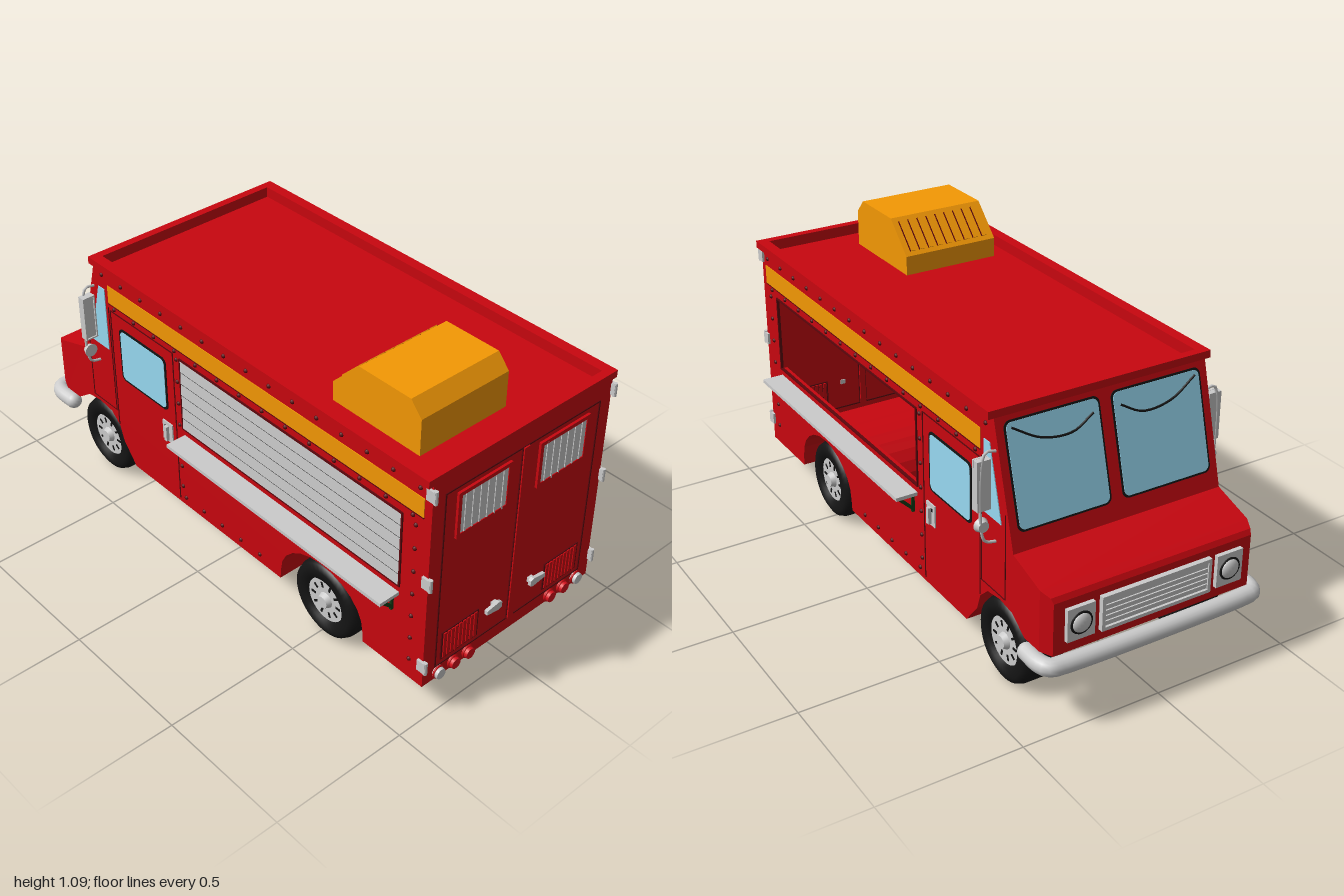
import * as THREE from 'three';

const mat = (color, extra = {}) => new THREE.MeshStandardMaterial({ color, ...extra });
const RED = mat(0xc8060f), RED2 = mat(0xc8060f, { side: THREE.DoubleSide }), SEAM = mat(0x5c060c);
const YELLOW = mat(0xf49804), GREY = mat(0xcccccc), GLASS = mat(0x98daf2), BLACK = mat(0x141414);
const TYRE = mat(0x141414, { side: THREE.DoubleSide });
const GREEN = mat(0x123d14), LAMP = mat(0xd8101c), TAN = mat(0xb08040);

function add(parent, name, geo, material, x = 0, y = 0, z = 0) {
  const m = new THREE.Mesh(geo, material);
  m.name = name;
  m.position.set(x, y, z);
  parent.add(m);
  return m;
}
const box = (p, name, material, w, h, d, x, y, z) =>
  add(p, name, new THREE.BoxGeometry(w, h, d), material, x, y, z);

function group(parent, name, x = 0, y = 0, z = 0) {
  const g = new THREE.Group();
  g.name = name;
  g.position.set(x, y, z);
  parent.add(g);
  return g;
}
const shapeOf = pts => new THREE.Shape(pts.map(p => new THREE.Vector2(...p)));
const pathOf = pts => new THREE.Path(pts.map(p => new THREE.Vector2(...p)));
const rect = (x0, y0, x1, y1) => [[x0, y0], [x1, y0], [x1, y1], [x0, y1]];
const extrude = (shape, depth) => new THREE.ExtrudeGeometry(shape, { depth, bevelEnabled: false });
// Rectangular outline made of four bars in the local xy plane
function frame(p, name, material, w, h, t, d, x, y, z) {
  for (const s of [-1, 1]) {
    box(p, name, material, w + t, t, d, x, y + s * h / 2, z);
    box(p, name, material, t, h, d, x + s * w / 2, y, z);
  }
}
const roundRect = (w, h, r) => {
  const s = new THREE.Shape(), x = w / 2, y = h / 2;
  s.absarc(x - r, y - r, r, 0, Math.PI / 2);
  s.absarc(-x + r, y - r, r, Math.PI / 2, Math.PI);
  s.absarc(-x + r, -y + r, r, Math.PI, Math.PI * 1.5);
  s.absarc(x - r, -y + r, r, Math.PI * 1.5, Math.PI * 2);
  return s;
};
const arch = (cx, cy, rx, ry) => Array.from({ length: 13 }, (_, i) => {
  const a = Math.PI * i / 12;
  return [cx + rx * Math.cos(a), cy + ry * Math.sin(a)];
});

// Body outline seen from the side; recess gives the sunken roof and stepped underside
const outline = recess => {
  const pan = (x0, x1) => recess
    ? [[x1, 0.12], [x1 - 0.02, 0.12], [x1 - 0.035, 0.17], [x0 + 0.035, 0.17], [x0 + 0.02, 0.12], [x0, 0.12]]
    : [[x1, 0.12], [x0, 0.12]];
  const roof = recess ? [[-0.626, 0.93], [-0.625, 0.905], [0.95, 0.905], [0.951, 0.93]] : [];
  return [
    [-0.65, 0.93], ...roof, [0.98, 0.93], ...pan(0.715, 0.98), ...arch(0.515, 0.16, 0.197, 0.155),
    ...pan(-0.49, 0.315), [-0.555, 0.2], [-0.575, 0.26], [-0.62, 0.3], [-0.69, 0.31],
    [-0.76, 0.3], [-0.83, 0.25], [-0.91, 0.25], [-0.955, 0.25], [-0.955, 0.435],
    [-0.945, 0.452], [-0.91, 0.465], [-0.765, 0.51]];
};
// The nose narrows slightly at its corners
const taper = geo => {
  const p = geo.attributes.position;
  for (let i = 0; i < p.count; i++) {
    const t = Math.max(0, -0.91 - p.getX(i)) / 0.045;
    p.setZ(i, p.getZ(i) * (1 - 0.05 * t));
  }
  geo.computeVertexNormals();
  return geo;
};
// Skin stretched across the truck along a closed outline
function skin(pts, hz) {
  const pos = [];
  pts.forEach(([x0, y0], i) => {
    const [x1, y1] = pts[(i + 1) % pts.length];
    pos.push(x0, y0, hz, x1, y1, hz, x0, y0, -hz, x1, y1, hz, x1, y1, -hz, x0, y0, -hz);
  });
  const g = new THREE.BufferGeometry();
  g.setAttribute('position', new THREE.Float32BufferAttribute(pos, 3));
  return g;
}

function addWheel(parent, x, s) {
  const w = group(parent, 'wheel', x, 0.145, s * 0.307);
  w.rotation.x = s * Math.PI / 2;
  const profile = [[0, -0.06], [0.075, -0.06], [0.085, -0.074], [0.12, -0.075], [0.138, -0.065], [0.145, -0.045],
    [0.145, 0.045], [0.138, 0.065], [0.12, 0.075], [0.088, 0.072], [0.08, 0.05]].map(p => new THREE.Vector2(...p));
  add(w, 'tyre', new THREE.LatheGeometry(profile, 40), TYRE);
  add(w, 'rim', new THREE.CylinderGeometry(0.082, 0.082, 0.1, 32), GREY, 0, 0.01, 0);
  add(w, 'hub', new THREE.CylinderGeometry(0.022, 0.03, 0.02, 20), GREY, 0, 0.068, 0);
  for (let i = 0; i < 10; i++) {
    const a = i * Math.PI / 5;
    add(w, 'rimSlot', new THREE.BoxGeometry(0.02, 0.004, 0.008).rotateY(-a), BLACK,
      0.058 * Math.cos(a), 0.06, 0.058 * Math.sin(a));
  }
}

function addSide(g, s) {
  const z = s * 0.39, z0 = s > 0 ? 0.37 : -0.39;
  // Wall, with an open serving hatch on one side and a closed shutter on the other
  const wall = shapeOf(outline(false).filter(p => p[0] >= -0.91));
  if (s < 0) wall.holes.push(pathOf(rect(-0.185, 0.465, 0.865, 0.75)));
  add(g, 'sideWall', extrude(wall, 0.02).translate(0, 0, z0), RED);
  const nose = shapeOf(outline(false).filter(p => p[0] <= -0.91));
  add(g, 'noseSide', taper(extrude(nose, 0.02).translate(0, 0, z0)), RED);
  if (s > 0) for (let i = 0; i < 6; i++) {
    box(g, 'shutterSlat', GREY, 1.05, 0.047, 0.008, 0.34, 0.489 + i * 0.0475, z).rotation.x = -0.04;
    box(g, 'slatSeam', BLACK, 1.05, 0.003, 0.009, 0.34, 0.465 + i * 0.0475, z);
  }
  frame(g, 'hatchFrame', SEAM, 1.05, 0.285, 0.006, 0.01, 0.34, 0.6075, z);
  box(g, 'stripe', YELLOW, 1.53, 0.07, 0.005, 0.185, 0.82, z);
  box(g, 'stripeEdge', SEAM, 1.53, 0.004, 0.006, 0.185, 0.783, z);
  // Folding counter with triangular brackets
  box(g, 'counter', GREY, 1.045, 0.013, 0.08, 0.342, 0.432, s * 0.43);
  for (const x of [-0.155, 0.075, 0.26, 0.69, 0.84]) {
    box(g, 'bracket', GREEN, 0.008, 0.07, 0.01, x, 0.39, s * 0.395);
    box(g, 'bracket', GREEN, 0.008, 0.012, 0.065, x, 0.419, s * 0.423);
    box(g, 'bracket', GREEN, 0.008, 0.085, 0.011, x, 0.39, s * 0.42).rotation.x = s * 0.8;
  }
  // Door, windows and latch
  for (const [w, h, x, y] of [[0.004, 0.62, -0.225, 0.445], [0.004, 0.49, -0.575, 0.51], [0.35, 0.004, -0.4, 0.755],
    [0.003, 0.3, -0.722, 0.475], [0.14, 0.003, -0.65, 0.325], [0.003, 0.44, -0.585, 0.545]])
    box(g, 'doorSeam', SEAM, w, h, 0.004, x, y, z);
  add(g, 'doorWindowFrame', extrude(roundRect(0.262, 0.217, 0.022), 0.006), BLACK, -0.397, 0.6, z - 0.003);
  add(g, 'doorWindow', extrude(roundRect(0.246, 0.2, 0.018), 0.009), GLASS, -0.397, 0.6, z - 0.0045);
  const quarter = shapeOf([[-0.7, 0.58], [-0.6, 0.58], [-0.6, 0.83], [-0.634, 0.83]]);
  add(g, 'quarterWindow', extrude(quarter, 0.006), GLASS, 0, 0, z - 0.003);
  box(g, 'latchPlate', GREY, 0.054, 0.08, 0.01, -0.273, 0.403, z);
  box(g, 'latchRecess', BLACK, 0.02, 0.012, 0.012, -0.278, 0.422, z);
  box(g, 'latchHandle', GREY, 0.014, 0.06, 0.024, -0.272, 0.4, s * 0.395);
  // Rivets
  const bolts = [];
  for (let i = 0; i < 15; i++) bolts.push([-0.61 + i * 0.11, 0.885]);
  for (let i = 0; i < 14; i++) bolts.push([-0.55 + i * 0.112, 0.77]);
  for (let i = 0; i < 7; i++) bolts.push([-0.205, 0.2 + i * 0.09], [0.92, 0.2 + i * 0.09]);
  for (let i = 0; i < 5; i++) bolts.push([-0.19 + i * 0.1, 0.155]);
  for (const [x, y] of bolts) add(g, 'rivet', new THREE.SphereGeometry(0.008, 8, 6), SEAM, x, y, z);
  // Mirrors on a bent rod
  const rod = [[0.385, 0.815], [0.425, 0.82], [0.438, 0.79], [0.438, 0.54], [0.425, 0.515], [0.385, 0.505]]
    .map(([pz, py]) => new THREE.Vector3(-0.665, py, s * pz));
  add(g, 'mirrorRod', new THREE.TubeGeometry(new THREE.CatmullRomCurve3(rod), 24, 0.005, 8), GREY);
  box(g, 'mirror', GREY, 0.024, 0.17, 0.048, -0.656, 0.71, s * 0.432);
  const face = group(g, 'mirrorFace', -0.643, 0.71, s * 0.432);
  face.rotation.y = Math.PI / 2;
  frame(face, 'mirrorRim', GREY, 0.044, 0.166, 0.005, 0.008, 0, 0, 0);
  add(g, 'roundMirror', new THREE.CylinderGeometry(0.025, 0.018, 0.02, 20).rotateZ(-Math.PI / 2), GREY,
    -0.66, 0.57, s * 0.434);
  // Hinges, lower sill and wheels
  for (const y of [0.885, 0.55, 0.21]) {
    box(g, 'hinge', GREY, 0.035, 0.042, 0.014, 0.978, y, s * 0.392);
    add(g, 'hingePin', new THREE.CylinderGeometry(0.007, 0.007, 0.048, 10), GREY, 0.992, y, s * 0.392);
  }
  for (const [x0, x1] of [[-0.49, 0.315], [0.715, 0.98]])
    box(g, 'sill', RED, x1 - x0, 0.05, 0.035, (x0 + x1) / 2, 0.1455, s * 0.365);
  for (const x of [-0.685, 0.515]) addWheel(g, x, s);
}

function addFront(g) {
  // Split windscreen lying on the sloping cab face
  const w = group(g, 'windscreen');
  const d = new THREE.Vector3(0.115, 0.42, 0).normalize();
  const m = new THREE.Matrix4().makeBasis(new THREE.Vector3(0, 0, 1), d, new THREE.Vector3(-d.y, d.x, 0));
  w.quaternion.setFromRotationMatrix(m);
  w.position.set(-0.7075, 0.72, 0);
  for (const s of [-1, 1]) {
    add(w, 'screenSeal', extrude(roundRect(0.342, 0.346, 0.024), 0.002), BLACK, s * 0.192, 0.015, 0);
    add(w, 'screenGlass', extrude(roundRect(0.328, 0.332, 0.02), 0.004), GLASS, s * 0.192, 0.015, 0);
    const wiper = [[0.34, 0.165], [0.24, 0.11], [0.13, 0.1], [0.05, 0.14]].map(([x, y]) => new THREE.Vector3(s * x, y, 0.005));
    add(w, 'wiper', new THREE.TubeGeometry(new THREE.CatmullRomCurve3(wiper), 16, 0.004, 6), BLACK);
  }
  // Grille and headlamps
  const f = group(g, 'nose', -0.955, 0.35, 0);
  f.rotation.y = -Math.PI / 2;
  box(f, 'grille', BLACK, 0.4, 0.11, 0.016, 0, 0, 0);
  frame(f, 'grilleFrame', GREY, 0.4, 0.11, 0.012, 0.035, 0, 0, 0);
  for (let i = 0; i < 5; i++) box(f, 'grilleBar', GREY, 0.4, 0.015, 0.026, 0, -0.038 + i * 0.019, 0);
  for (const s of [-1, 1]) {
    box(f, 'lampPlate', GREY, 0.1, 0.115, 0.03, s * 0.28, 0, 0);
    add(f, 'lampRing', new THREE.TorusGeometry(0.036, 0.004, 8, 24), BLACK, s * 0.28, 0, 0.015);
    add(f, 'headlamp', new THREE.SphereGeometry(0.034, 20, 12).scale(1, 1, 0.5), GREY, s * 0.28, 0, 0.014);
  }
  box(g, 'valance', TAN, 0.05, 0.02, 0.7, -0.81, 0.272, 0);
  // Wrap-around bumper
  const path = [[-0.86, 0.4], [-0.93, 0.4], [-0.962, 0.385], [-0.97, 0.34]];
  const pts = [...path, ...path.slice().reverse().map(([x, z]) => [x, -z])].map(([x, z]) => new THREE.Vector3(x, 0.222, z));
  add(g, 'bumper', new THREE.TubeGeometry(new THREE.CatmullRomCurve3(pts), 64, 0.03, 16), GREY);
  for (const s of [-1, 1]) add(g, 'bumperEnd', new THREE.SphereGeometry(0.03, 16, 12), GREY, -0.86, 0.222, s * 0.4);
}

function addRear(g) {
  const r = group(g, 'rearDoors', 0.98, 0, 0);
  r.rotation.y = Math.PI / 2;
  frame(r, 'doorFrameSeam', SEAM, 0.675, 0.688, 0.005, 0.006, 0, 0.518, 0);
  box(r, 'centreStrip', RED, 0.024, 0.688, 0.016, 0, 0.518, 0);
  for (const s of [-1, 1]) {
    box(r, 'centreSeam', SEAM, 0.003, 0.688, 0.008, s * 0.0145, 0.518, 0);
    frame(r, 'rearWindowFrame', RED, 0.213, 0.158, 0.014, 0.018, s * 0.176, 0.756, 0);
    box(r, 'rearWindow', GREY, 0.2, 0.158, 0.012, s * 0.176, 0.756, 0);
    for (let i = 0; i < 6; i++) box(r, 'windowBar', GREY, 0.006, 0.158, 0.018, s * (0.096 + i * 0.032), 0.756, 0);
    frame(r, 'ventFrame', SEAM, 0.16, 0.107, 0.004, 0.008, s * 0.235, 0.248, 0);
    for (let i = 0; i < 9; i++) box(r, 'ventSlat', RED, 0.012, 0.1, 0.014, s * (0.167 + i * 0.017), 0.248, 0);
    box(r, 'ventBack', SEAM, 0.155, 0.1, 0.006, s * 0.235, 0.248, 0);
    const grip = shapeOf([[0.135, -0.008], [0.08, -0.016], [0.067, -0.01], [0.067, 0.01], [0.08, 0.016], [0.135, 0.008]]
      .map(([x, y]) => [s * x, y]));
    add(r, 'doorHandle', extrude(grip, 0.012), GREY, 0, 0.285, 0.012);
    box(r, 'handleStem', GREY, 0.02, 0.018, 0.02, s * 0.085, 0.285, 0.006);
    [[0.325, GREY], [0.258, LAMP], [0.193, LAMP]].forEach(([x, m]) => {
      add(r, 'tailLamp', new THREE.CylinderGeometry(0.019, 0.022, 0.02, 20).rotateX(Math.PI / 2), m, s * x, 0.147, 0.01);
      add(r, 'lampRim', new THREE.TorusGeometry(0.021, 0.004, 6, 20), RED, s * x, 0.147, 0.006);
    });
  }
}

function addRoof(g) {
  // Raised rim around the roof panel
  const rim = shapeOf(rect(-0.655, -0.41, 0.98, 0.41));
  rim.holes.push(pathOf(rect(-0.625, -0.37, 0.95, 0.37)));
  add(g, 'roofRim', extrude(rim, 0.026).rotateX(-Math.PI / 2), RED, 0, 0.918, 0);
  // Vent cowl with louvre blades on its sloping face
  const cowl = shapeOf([[0.475, 0.9], [0.845, 0.9], [0.845, 1.035], [0.8, 1.085], [0.585, 1.085], [0.475, 0.975]]);
  add(g, 'roofVent', extrude(cowl, 0.365), YELLOW, 0, 0, -0.055);
  for (let i = 0; i < 9; i++) {
    const z = -0.02 + i * 0.037;
    box(g, 'ventLouvre', YELLOW, 0.12, 0.008, 0.018, 0.53, 1.03, z).rotation.z = Math.PI / 4;
    box(g, 'louvreGap', SEAM, 0.12, 0.003, 0.004, 0.53, 1.03, z - 0.011).rotation.z = Math.PI / 4;
  }
}

export function createModel() {
  const g = new THREE.Group();
  g.name = 'foodTruck';
  add(g, 'bodyShell', taper(skin(outline(true), 0.385)), RED2);
  for (const s of [1, -1]) addSide(group(g, s > 0 ? 'leftSide' : 'rightSide'), s);
  addFront(group(g, 'front'));
  addRear(group(g, 'rear'));
  addRoof(group(g, 'roof'));
  return g;
}
